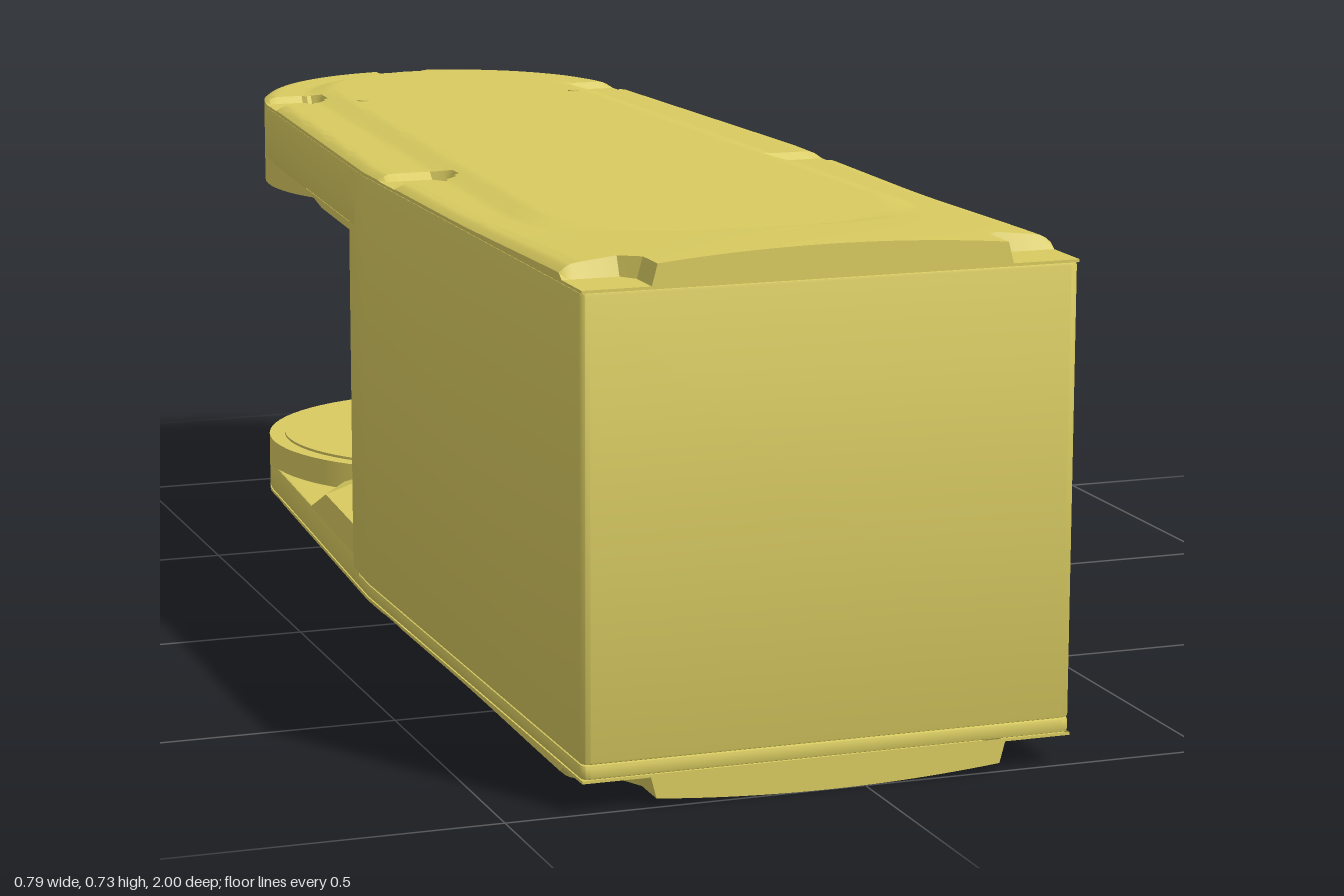
import * as THREE from 'three';
import { toCreasedNormals } from 'three/addons/utils/BufferGeometryUtils.js';
import { ConvexGeometry } from 'three/addons/geometries/ConvexGeometry.js';

const CX = -0.05;                 // body centre line
const ARM_Z = -0.7, ARM_R = 0.3;  // centre and radius of the rounded arm ends
const MID = 0.365;                // height of the top/bottom mirror plane
const RIM = 0.685;                // where the cover meets the body

const { clamp, lerp, smoothstep } = THREE.MathUtils;
const halfWidth = z => z > 0 ? 0.345
  : z > ARM_Z ? lerp(0.345, ARM_R, z / ARM_Z)
  : Math.sqrt(Math.max(0, ARM_R ** 2 - (z - ARM_Z) ** 2));

// Screw pockets: x and z from the centre line, radius, open end
const POCKETS = [
  { x: 0.29, z: 0.955, r: 0.045, open: 'corner' },
  { x: 0.29, z: 0.125, r: 0.042, open: 'side' },
  { x: 0.255, z: -0.695, r: 0.042, open: 'side' },
  { x: 0, z: -0.955, r: 0.04, open: 'back' },
];

function inPocket(x, z) {
  return POCKETS.some(p => {
    let dx = Math.abs(x) - p.x, dz = z - p.z;
    if (p.open !== 'back') dx = Math.min(0, dx);
    if (p.open === 'corner') dz = Math.min(0, dz);
    if (p.open === 'back') dz = Math.max(0, dz);
    return Math.hypot(dx, dz) < p.r;
  });
}

// Height of the cover: flat tapered panel, shoulders around it, crowned front
function coverHeight(x, z) {
  if (inPocket(x, z)) return RIM + 0.004;
  const front = 0.53, rf = 0.245, rb = 0.19;
  const d = z > front ? Math.hypot(x, z - front) - rf
    : z < ARM_Z ? Math.hypot(x, z - ARM_Z) - rb
    : Math.abs(x) - lerp(rb, rf, (z - ARM_Z) / (front - ARM_Z));
  const shoulder = lerp(0.699, 0.73 - 0.2 * x * x, smoothstep(z, 0.4, 1));
  const h = lerp(0.71, shoulder, clamp(d / 0.04, 0, 1));
  const edge = z < ARM_Z ? ARM_R - Math.hypot(x, z - ARM_Z) : halfWidth(z) - Math.abs(x);
  return h - 0.009 * clamp(1 - edge / 0.02, 0, 1) ** 2;
}

function coverGeometry(flip) {
  const rows = [{ z: 1, rim: true }], pos = [], idx = [], COLS = 88;
  for (let i = 0; i <= 150; i++) rows.push({ z: lerp(1, ARM_Z, i / 150) });
  for (let i = 1; i <= 46; i++) rows.push({ z: ARM_Z - ARM_R * Math.sin(i / 46 * Math.PI / 2) });
  rows.push({ z: ARM_Z - ARM_R, rim: true });
  rows.forEach(({ z, rim }, i) => {
    for (let j = 0; j <= COLS + 2; j++) {
      const u = clamp((j - 1) / COLS, 0, 1) * 2 - 1;
      const x = u * halfWidth(z);
      const y = rim || j === 0 || j === COLS + 2 ? RIM : coverHeight(x, z);
      pos.push(CX + x, flip ? 2 * MID - y : y, z);
      if (i && j) {
        const d = i * (COLS + 3) + j, c = d - 1, b = d - COLS - 3, a = b - 1;
        if (flip) idx.push(a, c, b, b, c, d);
        else idx.push(a, b, c, b, d, c);
      }
    }
  });
  const g = new THREE.BufferGeometry();
  g.setAttribute('position', new THREE.Float32BufferAttribute(pos, 3));
  g.setIndex(idx);
  return toCreasedNormals(g, 0.5);
}

// Extrude a plan outline (x, -z) between two heights with softened rims
function slab(shape, y0, y1, bevel = 0.004) {
  const g = new THREE.ExtrudeGeometry(shape, {
    depth: y1 - y0 - 2 * bevel, bevelSize: bevel, bevelThickness: bevel,
    bevelOffset: -bevel, bevelSegments: 2, curveSegments: 32,
  });
  g.rotateX(-Math.PI / 2).translate(CX, y0 + bevel, 0);
  return toCreasedNormals(g, 0.5);
}

// Body outline with a blunt nose between the arms
function bodyShape() {
  const s = new THREE.Shape(), w = halfWidth(-0.1), r = 0.012;
  s.moveTo(-0.345 + r, -1).lineTo(0.345 - r, -1);
  s.quadraticCurveTo(0.345, -1, 0.345, -1 + r);
  s.lineTo(0.345, 0).lineTo(w, 0.1).lineTo(0.08, 0.29);
  s.quadraticCurveTo(0, 0.35, -0.08, 0.29);
  s.lineTo(-w, 0.1).lineTo(-0.345, 0).lineTo(-0.345, -1 + r);
  s.quadraticCurveTo(-0.345, -1, -0.345 + r, -1);
  return s;
}

function armShape() {
  const s = new THREE.Shape(), w = halfWidth(-0.06);
  s.moveTo(-w, 0.06).lineTo(w, 0.06).lineTo(ARM_R, -ARM_Z);
  s.absarc(0, -ARM_Z, ARM_R, 0, Math.PI, false);
  s.lineTo(-w, 0.06);
  return s;
}

// Convex block from [halfX, y, z] points mirrored across the centre line
function hull(points) {
  const g = new ConvexGeometry(points.flatMap(([x, y, z]) =>
    [new THREE.Vector3(CX + x, y, z), new THREE.Vector3(CX - x, y, z)]));
  return g;
}

// Web that ramps from the body down to the arm
const webGeometry = (yArm, yTop) => hull([
  [halfWidth(-0.08), yArm, -0.08], [halfWidth(-0.42), yArm, -0.42], [0.2, yArm, -0.6],
  [halfWidth(-0.08), yTop, -0.08], [halfWidth(-0.3), yTop, -0.3], [0.12, yTop, -0.5],
]);

// Cove at the foot of the nose
const coveGeometry = (y, dir) => hull([
  [0.335, y, -0.1], [0.32, y, -0.15], [0.09, y, -0.34], [0.03, y, -0.365],
  [0.33, y + dir * 0.04, -0.1], [0.08, y + dir * 0.04, -0.29], [0.02, y + dir * 0.04, -0.32],
]);

export function createModel() {
  const group = new THREE.Group();
  const yellow = new THREE.MeshStandardMaterial({ color: 0xd9cb60, side: THREE.DoubleSide });
  const add = (name, geometry, parent = group) => {
    const m = new THREE.Mesh(geometry, yellow);
    m.name = name;
    parent.add(m);
    return m;
  };

  // Body, split by a seam near the bottom
  add('body', slab(bodyShape(), 0.065, RIM));
  add('bodyBase', slab(bodyShape(), 0.045, 0.065));
  add('topCover', coverGeometry(false));
  add('bottomCover', coverGeometry(true));

  // Arms with round bearing pads facing each other
  add('upperArm', slab(armShape(), 0.598, RIM));
  add('lowerArm', slab(armShape(), 0.045, 0.09));
  add('upperWeb', webGeometry(0.6, 0.588));
  add('lowerWeb', webGeometry(0.088, 0.135));
  add('upperCove', coveGeometry(0.588, -1));
  add('lowerCove', coveGeometry(0.135, 1));
  const pad = (name, y0, y1, r) => add(name, new THREE.CylinderGeometry(r, r, y1 - y0, 72))
    .position.set(CX, (y0 + y1) / 2, ARM_Z);
  pad('upperPad', 0.56, 0.61, ARM_R);
  pad('lowerPad', 0.08, 0.132, ARM_R);
  pad('lowerPadFace', 0.13, 0.136, 0.275);

  // Small pins on both covers
  for (const side of [-1, 1]) for (const y of [0.71, 2 * MID - 0.71])
    add('coverPin', new THREE.CylinderGeometry(0.009, 0.009, 0.003, 16))
      .position.set(CX + side * 0.178, y, -0.58);

  // Side plate with rounded corners
  const plate = new THREE.Shape(), h = 0.187, v = 0.203, r = 0.02;
  plate.absarc(h - r, v - r, r, 0, Math.PI / 2);
  plate.absarc(-h + r, v - r, r, Math.PI / 2, Math.PI);
  plate.absarc(-h + r, -v + r, r, Math.PI, Math.PI * 1.5);
  plate.absarc(h - r, -v + r, r, Math.PI * 1.5, Math.PI * 2);
  const plateGeometry = new THREE.ExtrudeGeometry(plate, { depth: 0.012, bevelEnabled: false });
  add('sidePlate', plateGeometry.rotateY(Math.PI / 2)).position.set(0.286, 0.405, 0.245);

  // Stepped knob turned about the x axis
  const profile = [[0, 0], [0.095, 0], [0.095, 0.03], [0.07, 0.03], [0.07, 0.043],
    [0.075, 0.043], [0.075, 0.107], [0, 0.107]].map(p => new THREE.Vector2(...p));
  const knob = toCreasedNormals(new THREE.LatheGeometry(profile, 48), 0.5);
  add('knob', knob.rotateZ(-Math.PI / 2)).position.set(0.288, 0.405, 0.245);

  return group;
}
